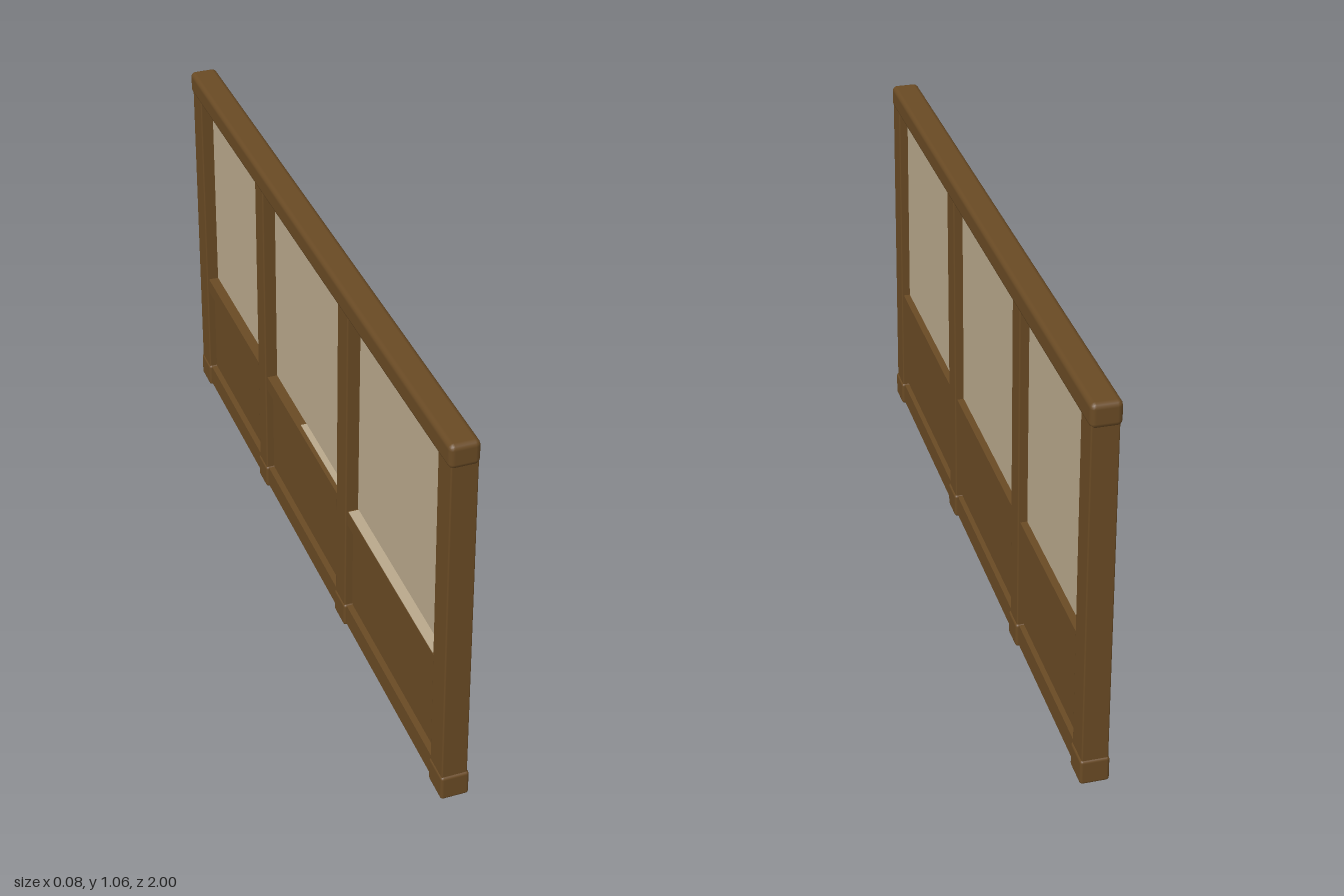
import * as THREE from 'three';
import { RoundedBoxGeometry } from 'three/addons/geometries/RoundedBoxGeometry.js';

const wood = new THREE.MeshStandardMaterial({ color: 0x694a24 });
wood.name = 'brown wood';
const pane = new THREE.MeshStandardMaterial({ color: 0xb9a88b });
pane.name = 'pale pane';

// The front end of the wall leans back as it rises.
const LEAN = 0.032;
function lean(geometry) {
  const p = geometry.attributes.position;
  for (let i = 0; i < p.count; i++) {
    if (p.getZ(i) > 0.5) p.setZ(i, p.getZ(i) - LEAN * p.getY(i));
  }
  geometry.computeBoundingSphere();
  return geometry;
}

export function createModel() {
  const group = new THREE.Group();

  // Block between two corners; a radius softens its edges.
  function block(name, [x0, x1], [y0, y1], [z0, z1], material = wood, radius = 0) {
    const size = [x1 - x0, y1 - y0, z1 - z0];
    const geometry = radius
      ? new RoundedBoxGeometry(...size, 2, radius)
      : new THREE.BoxGeometry(...size);
    geometry.translate((x0 + x1) / 2, (y0 + y1) / 2, (z0 + z1) / 2);
    const mesh = new THREE.Mesh(lean(geometry), material);
    mesh.name = name;
    group.add(mesh);
  }

  // Posts, each standing on a slightly wider foot
  const posts = [[-0.995, -0.92], [-0.42, -0.355], [0.235, 0.305], [0.92, 0.995]];
  posts.forEach(([z0, z1]) => {
    block('post', [-0.034, 0.034], [0.03, 1.03], [z0, z1], wood, 0.004);
    block('postFoot', [-0.037, 0.038], [0.005, 0.076], [z0 - 0.004, z1 + 0.005], wood, 0.008);
  });

  // Top rail over the whole length; its front end follows the lean
  block('topRail', [-0.04, 0.037], [1.0, 1.064], [-1.0, 1.001], wood, 0.014);

  // Three bays between neighbouring posts
  for (let i = 0; i < 3; i++) {
    const span = [posts[i][1] - 0.02, posts[i + 1][0] + 0.02];
    block('bottomRail', [-0.029, 0.029], [0.01, 0.073], span);
    block('lowerPanel', [-0.012, 0.015], [0.06, 0.36], span);
    block('middleRail', [-0.028, 0.028], [0.35, 0.395], span);
    block('windowPane', [0.001, 0.009], [0.39, 1.005], span, pane);
  }

  // Pale sill strips on the left-out side of the panes
  block('paneSill', [-0.027, 0.002], [0.393, 0.397], [0.31, 0.9], pane);
  block('paneSill', [-0.016, 0.002], [0.393, 0.397], [-0.1, 0.235], pane);

  return group;
}
